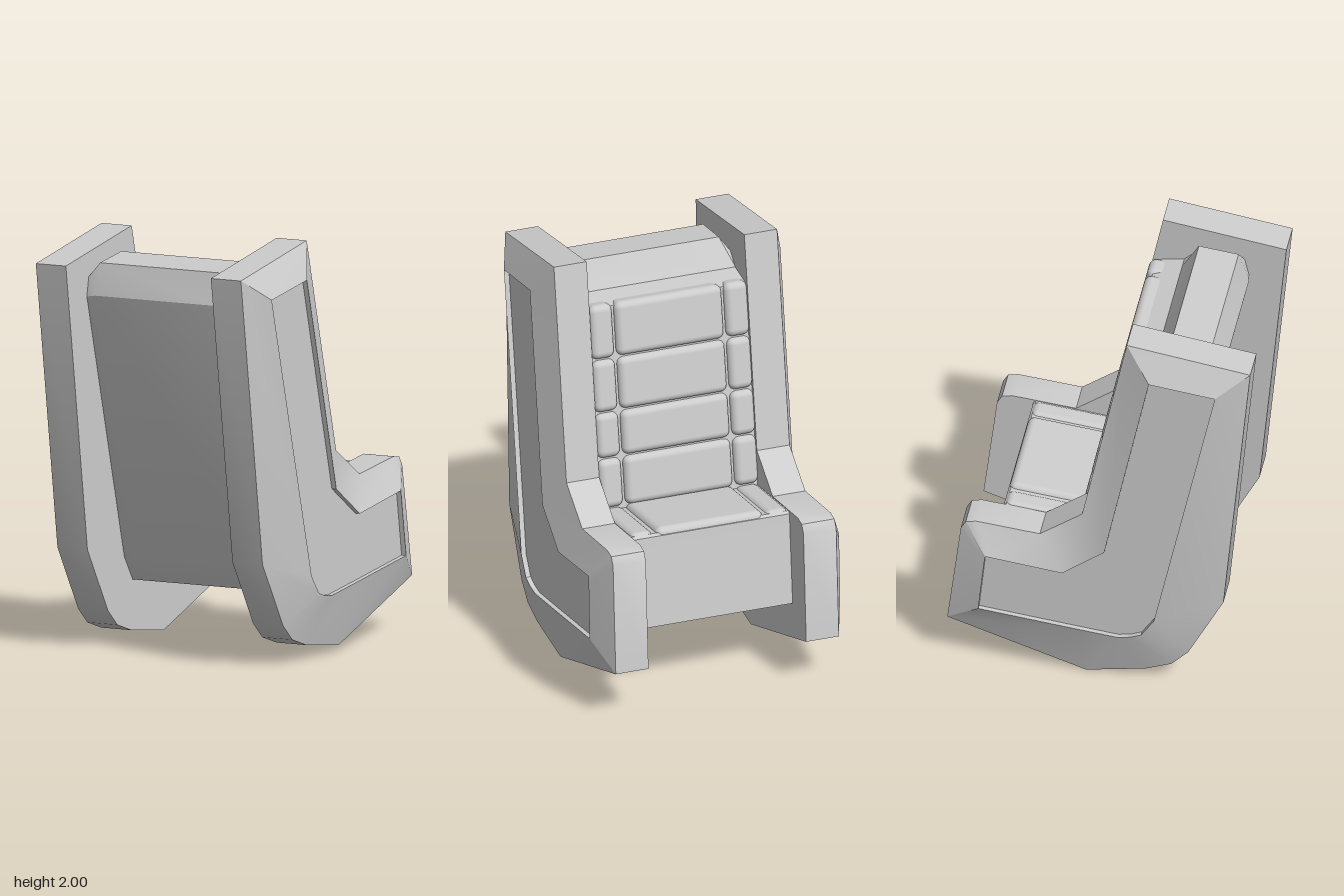
import * as THREE from 'three';
import { toCreasedNormals } from 'three/addons/utils/BufferGeometryUtils.js';
import { RoundedBoxGeometry } from 'three/addons/geometries/RoundedBoxGeometry.js';

const material = new THREE.MeshStandardMaterial({ color: 0xcccccc });

// Skin a list of [z, counter-clockwise profile] rings and cap both ends
function loft(rings, crease) {
  const pos = [];
  const put = (r, i) => pos.push(r[1][i][0], r[1][i][1], r[0]);
  const n = rings[0][1].length;
  for (let k = 0; k < rings.length - 1; k++) {
    const p = rings[k], q = rings[k + 1];
    for (let i = 0; i < n; i++) {
      const j = (i + 1) % n;
      put(p, i); put(p, j); put(q, j);
      put(p, i); put(q, j); put(q, i);
    }
  }
  const cap = (ring, flip) => {
    const pts = ring[1].map(([x, y]) => new THREE.Vector2(x, y));
    for (const [a, b, c] of THREE.ShapeUtils.triangulateShape(pts, [])) {
      put(ring, a); put(ring, flip ? c : b); put(ring, flip ? b : c);
    }
  };
  cap(rings[0], true);
  cap(rings[rings.length - 1], false);
  const geo = new THREE.BufferGeometry();
  geo.setAttribute('position', new THREE.Float32BufferAttribute(pos, 3));
  return toCreasedNormals(geo, crease);
}

function add(parent, name, geometry) {
  const mesh = new THREE.Mesh(geometry, material);
  mesh.name = name;
  parent.add(mesh);
  return mesh;
}

// A cushion whose outer face runs from point p to point q (x, y) between z0 and z1
function cushion(parent, name, p, q, z0, z1) {
  const thick = 0.1;
  const dx = q[0] - p[0], dy = q[1] - p[1], len = Math.hypot(dx, dy);
  const mesh = add(parent, name, new RoundedBoxGeometry(len, thick, z1 - z0, 3, 0.034));
  const nx = -dy / len, ny = dx / len;
  mesh.position.set((p[0] + q[0]) / 2 - nx * thick / 2, (p[1] + q[1]) / 2 - ny * thick / 2, (z0 + z1) / 2);
  mesh.rotation.z = Math.atan2(dy, dx);
}

export function createModel() {
  const model = new THREE.Group();
  model.name = 'armchair';

  // The chair is built facing +x, then turned and leaned slightly
  const chair = new THREE.Group();
  chair.name = 'chair';
  const side = new THREE.Vector3(0.195, 0.026, 0.98).normalize();
  const forward = new THREE.Vector3(0, 1, 0).cross(side).normalize();
  const up = side.clone().cross(forward);
  chair.quaternion.setFromRotationMatrix(new THREE.Matrix4().makeBasis(forward, up, side));
  chair.position.copy(side).multiplyScalar(0.026);
  model.add(chair);

  // Side panels: slab, bevel, recessed outer field
  const outline = [
    [-0.139, 1.985], [-0.73, 1.885], [-0.595, 0.505], [-0.425, 0.185], [-0.345, 0.105], [-0.22, 0.06],
    [0.065, 0.015], [0.729, 0.245], [0.662, 0.785], [0.638, 0.825], [0.589, 0.835], [0.283, 0.8], [0.08, 0.945],
  ];
  const field = [
    [-0.256, 1.818], [-0.572, 1.773], [-0.273, 0.403], [-0.212, 0.313], [-0.16, 0.293], [-0.1, 0.283],
    [0.1, 0.308], [0.568, 0.368], [0.537, 0.66], [0.534, 0.683], [0.515, 0.681], [0.166, 0.633], [-0.037, 0.783],
  ];
  const rings = [[0.403, outline], [0.57, outline], [0.64, field], [0.615, field]];
  add(chair, 'frontSidePanel', loft(rings, 0.45));
  add(chair, 'rearSidePanel', loft(rings.map(([z, p]) => [-z, p]).reverse(), 0.45));

  // Seat and backrest body, with the upper corners chamfered
  const body = [
    [-0.24, 1.765], [-0.32, 1.895], [-0.51, 1.87], [-0.56, 1.72], [-0.27, 0.42], [-0.2, 0.3],
    [-0.05, 0.28], [0.555, 0.365], [0.505, 0.69], [0.488, 0.808], [0.475, 0.819], [0.1, 0.772], [0.09, 0.82],
    [-0.108, 1.745],
  ];
  const bodyEnd = body.map((p) => p.slice());
  bodyEnd[1] = [-0.3, 1.82];
  bodyEnd[2] = [-0.53, 1.8];
  bodyEnd[3] = [-0.55, 1.71];
  add(chair, 'seatBody', loft([[-0.405, bodyEnd], [-0.35, body], [0.35, body], [0.405, bodyEnd]], 0.4));

  // Cushions: a wide centre column between two narrow bolsters
  const columns = [[-0.405, -0.285], [-0.275, 0.275], [0.285, 0.405]];
  const rows = [1.77, 1.505, 1.25, 1.03, 0.79];
  const backX = (y) => -0.085 + 0.215 * (1.77 - y);
  columns.forEach(([z0, z1], c) => {
    for (let r = 0; r < rows.length - 1; r++) {
      const hi = rows[r] - 0.003, lo = rows[r + 1] + 0.003;
      cushion(chair, 'backCushion', [backX(hi), hi], [backX(lo), lo], z0, z1);
    }
    const lift = c === 1 ? 0.022 : 0.012;
    cushion(chair, 'seatCushion', [0.08, 0.77 + lift], [0.482, 0.82 + lift], z0, z1);
  });

  return model;
}
